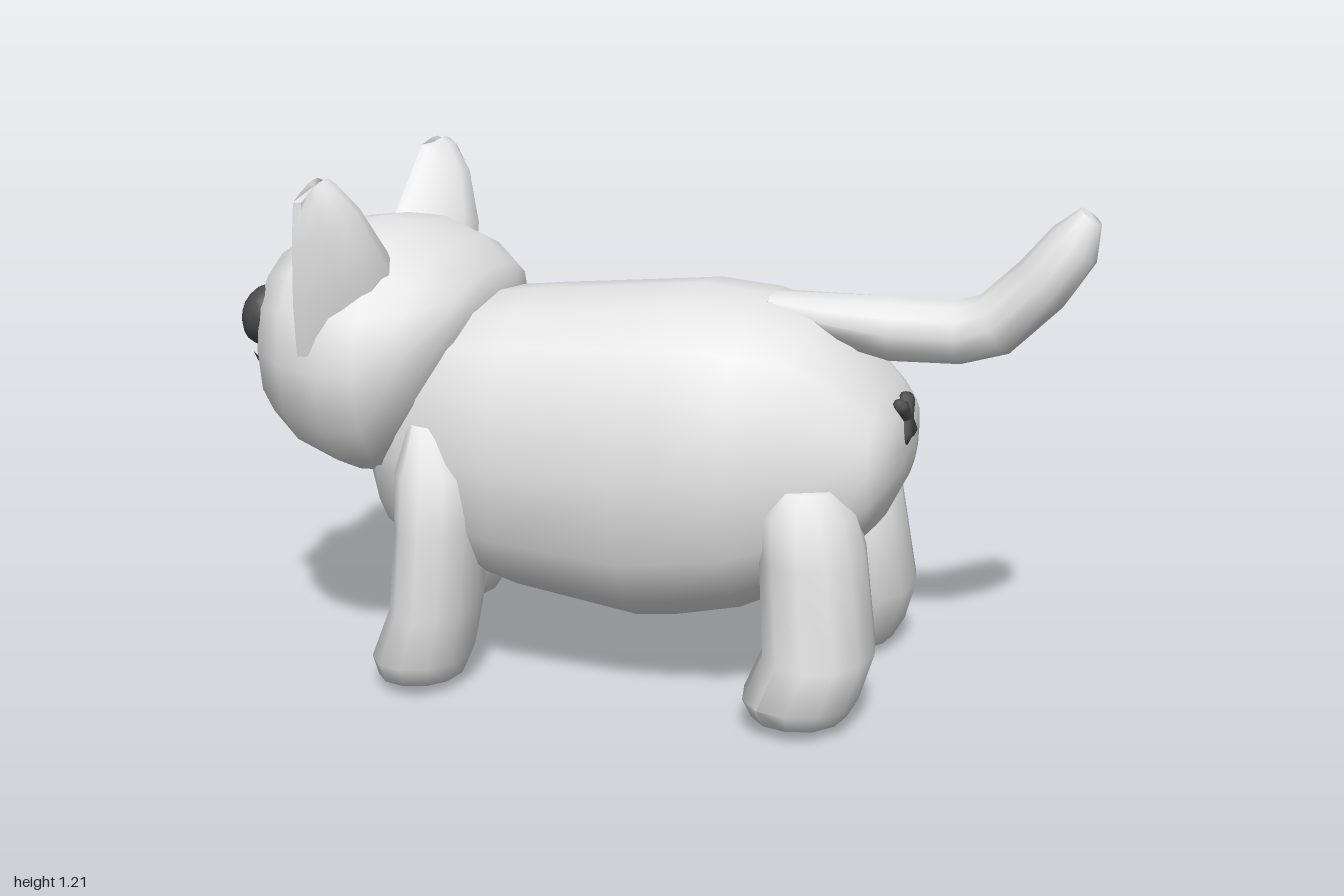
import * as THREE from 'three';
import { toCreasedNormals } from 'three/addons/utils/BufferGeometryUtils.js';

const fur = new THREE.MeshStandardMaterial({ color: 0xe6e6e6 });
fur.name = 'lightFur';
const dark = new THREE.MeshStandardMaterial({ color: 0x4a4a4a });
dark.name = 'darkStitch';

// Closed skin over rings of points, capped at both ends
function skin(rings, flip = false) {
  const n = rings[0].length, pos = [], idx = [];
  const tri = (a, b, c) => (flip ? idx.push(a, c, b) : idx.push(a, b, c));
  rings.forEach((r) => r.forEach((p) => pos.push(p.x, p.y, p.z)));
  const ends = [rings[0], rings[rings.length - 1]];
  ends.forEach((r) => {
    const c = new THREE.Vector3();
    r.forEach((p) => c.addScaledVector(p, 1 / n));
    pos.push(c.x, c.y, c.z);
  });
  const c0 = rings.length * n, c1 = c0 + 1, last = c0 - n;
  for (let j = 0; j < n; j++) {
    const k = (j + 1) % n;
    for (let i = 0; i < rings.length - 1; i++) {
      const a = i * n, b = a + n;
      tri(a + j, a + k, b + j);
      tri(a + k, b + k, b + j);
    }
    tri(c0, k, j);
    tri(c1, last + j, last + k);
  }
  const g = new THREE.BufferGeometry();
  g.setAttribute('position', new THREE.Float32BufferAttribute(pos, 3));
  g.setIndex(idx);
  return toCreasedNormals(g, 1.1);
}

// Rounded ring across a direction tilted in the xy plane: a = in-plane radius, b = z radius
function ring(x, y, z, tilt, a, b, n = 12, power = 2) {
  const pts = [];
  for (let i = 0; i < n; i++) {
    const t = (i / n) * Math.PI * 2;
    const round = (v) => Math.sign(v) * Math.pow(Math.abs(v), 2 / power);
    const u = a * round(Math.cos(t)), w = b * round(Math.sin(t));
    pts.push(new THREE.Vector3(x - Math.sin(tilt) * u, y + Math.cos(tilt) * u, z + w));
  }
  return pts;
}

// Barrel shape along x from [x, top, bottom, halfWidth]
const barrel = (rows, z, power) =>
  skin(rows.map(([x, top, bot, w]) => ring(x, (top + bot) / 2, z, 0, (top - bot) / 2, w, 16, power)));

function capsuleBetween(a, b, radius) {
  const dir = b.clone().sub(a);
  const g = new THREE.CapsuleGeometry(radius, dir.length(), 2, 8);
  g.applyQuaternion(new THREE.Quaternion().setFromUnitVectors(new THREE.Vector3(0, 1, 0), dir.normalize()));
  return g.translate((a.x + b.x) / 2, (a.y + b.y) / 2, (a.z + b.z) / 2);
}

// Cupped ear, open towards the face
function earGeometry(side) {
  const A0 = new THREE.Vector3(-0.72, 0.99, 0.06), A1 = new THREE.Vector3(-0.71, 1.195, 0.285);
  const B0 = new THREE.Vector3(-0.735, 0.81, 0.405), B1 = new THREE.Vector3(-0.71, 1.17, 0.44);
  const rows = [[0, 0.15], [0.35, 0.14], [0.75, 0.09], [0.95, 0.04], [1, 0.015]];
  const rings = rows.map(([t, depth]) => {
    const a = A0.clone().lerp(A1, t), b = B0.clone().lerp(B1, t), pts = [];
    b.z += 0.015 * Math.sin(Math.PI * t);
    const at = (s, d) => {
      const p = a.clone().lerp(b, s);
      p.x += d;
      p.y += t * 0.025 * Math.sin(Math.PI * s);
      p.z *= side;
      return p;
    };
    for (let i = 0; i <= 6; i++) pts.push(at(i / 6, 0.02 + depth * Math.sin((Math.PI * i) / 6)));
    for (let i = 6; i >= 0; i--) pts.push(at(i / 6, depth * 0.7 * Math.sin((Math.PI * i) / 6)));
    return pts;
  });
  return skin(rings, side > 0);
}

export function createModel() {
  const model = new THREE.Group();
  const add = (name, geometry, material = fur) => {
    const m = new THREE.Mesh(geometry, material);
    m.name = name;
    model.add(m);
    return m;
  };

  // Body
  add('body', barrel([
    [-0.7, 0.6, 0.46, 0.13], [-0.62, 0.75, 0.32, 0.26], [-0.55, 0.83, 0.28, 0.31],
    [-0.4, 0.9, 0.235, 0.355], [-0.3, 0.91, 0.21, 0.38], [0, 0.94, 0.163, 0.383],
    [0.1, 0.95, 0.175, 0.383], [0.25, 0.935, 0.21, 0.38], [0.38, 0.9, 0.27, 0.33],
    [0.47, 0.83, 0.34, 0.29], [0.55, 0.74, 0.43, 0.25], [0.585, 0.69, 0.5, 0.2],
    [0.6, 0.64, 0.55, 0.08],
  ], -0.008, 2.6));

  // Head
  add('head', barrel([
    [-0.972, 0.8, 0.66, 0.07], [-0.95, 0.88, 0.61, 0.165], [-0.9, 1.0, 0.565, 0.275],
    [-0.8, 1.05, 0.51, 0.38], [-0.69, 1.066, 0.467, 0.41], [-0.6, 1.056, 0.47, 0.405],
    [-0.5, 1.015, 0.605, 0.355], [-0.42, 0.95, 0.77, 0.25], [-0.4, 0.91, 0.83, 0.15],
  ], 0.004, 2.4));

  // Tail, raised at the tip
  add('tail', skin([
    [0.27, 0.925, -0.2, 0.012, 0.06], [0.4, 0.885, -0.1, 0.055, 0.084], [0.55, 0.867, 0, 0.076, 0.085],
    [0.7, 0.869, 0.12, 0.074, 0.085], [0.78, 0.892, 0.5, 0.074, 0.085], [0.88, 0.99, 0.8, 0.07, 0.085],
    [0.95, 1.085, 0.9, 0.062, 0.075], [0.982, 1.148, 0.9, 0.03, 0.035],
  ].map(([x, y, tilt, a, b]) => ring(x, y, -0.025, tilt, a, b))));

  // Legs as [y, x, z, x radius, z radius]; the lean swings a foot forward and lifts it
  const rearLeg = [
    [0.003, 0.43, 0.26, 0.04, 0.03], [0.03, 0.415, 0.265, 0.11, 0.125], [0.08, 0.42, 0.272, 0.133, 0.16],
    [0.18, 0.455, 0.248, 0.127, 0.17], [0.4, 0.43, 0.22, 0.12, 0.158],
    [0.5, 0.42, 0.24, 0.11, 0.13], [0.56, 0.42, 0.265, 0.06, 0.06],
  ];
  const frontLeg = [
    [0.006, -0.5, 0.27, 0.04, 0.03], [0.03, -0.505, 0.275, 0.1, 0.12], [0.08, -0.5, 0.275, 0.115, 0.147],
    [0.2, -0.466, 0.27, 0.101, 0.15], [0.4, -0.45, 0.265, 0.1, 0.152],
    [0.53, -0.45, 0.265, 0.1, 0.13], [0.64, -0.47, 0.265, 0.05, 0.06],
  ];
  const leg = (rows, side, lean) => skin(rows.map(([y, x, z, rx, rz]) =>
    ring(x - lean * (1 - y / 0.6), y + lean * 0.17, z * side, Math.PI / 2 - lean, rx, rz, 12, 2.1)));

  for (const side of [1, -1]) {
    const label = side > 0 ? 'Near' : 'Far';
    add('rearLeg' + label, leg(rearLeg, side, 0));
    add('frontLeg' + label, leg(frontLeg, side, side > 0 ? 0 : 0.135));
    add('ear' + label, earGeometry(side));

    // Eye
    const eye = add('eye' + label, new THREE.SphereGeometry(1, 14, 10), dark);
    eye.scale.set(0.052, 0.073, 0.066);
    eye.position.set(-0.909, 0.855, 0.212 * side);
    eye.rotation.z = -0.25;

    // Mouth half
    const lip = new THREE.CatmullRomCurve3([
      [-0.978, 0.77, 0], [-0.98, 0.725, 0.03], [-0.979, 0.708, 0.078], [-0.972, 0.745, 0.122],
    ].map(([x, y, z]) => new THREE.Vector3(x, y, z * side)));
    add('mouth' + label, new THREE.TubeGeometry(lip, 10, 0.019, 7), dark);

    // Crossed stitch under the tail
    add('stitch' + label, capsuleBetween(
      new THREE.Vector3(0.592, 0.632, 0.004 - 0.034 * side),
      new THREE.Vector3(0.584, 0.7, 0.004 + 0.034 * side), 0.021), dark);
  }

  // Nose
  const nose = add('nose', new THREE.SphereGeometry(1, 10, 8));
  nose.scale.set(0.036, 0.047, 0.066);
  nose.position.set(-0.964, 0.813, 0.004);

  return model;
}
